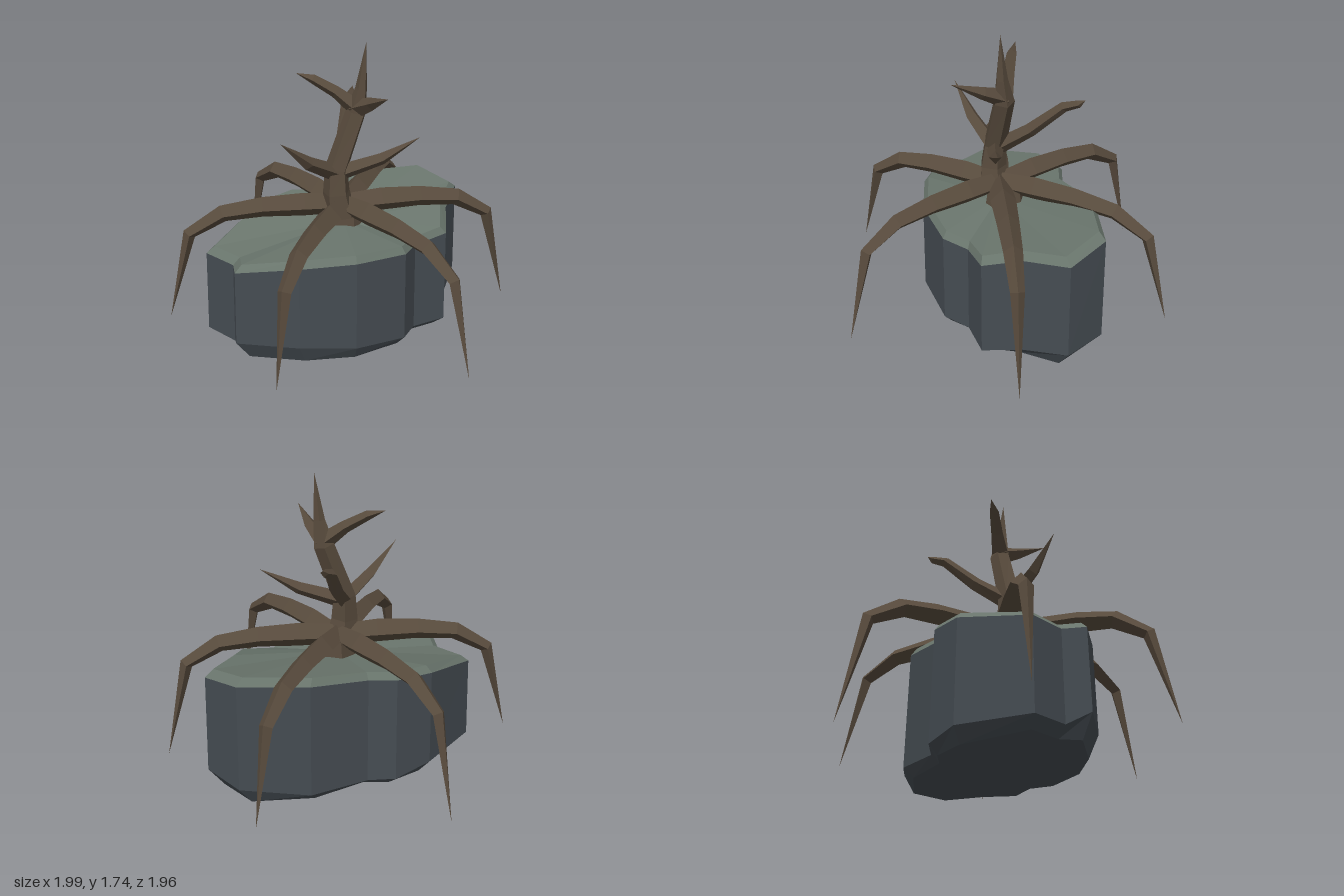
import * as THREE from 'three';

const V = (x, y, z) => new THREE.Vector3(x, y, z);

const bark = new THREE.MeshStandardMaterial({ color: 0x574a3c, flatShading: true });
bark.name = 'bark brown';
const stone = new THREE.MeshStandardMaterial({ color: 0x454c52, flatShading: true });
stone.name = 'dark stone';
const moss = new THREE.MeshStandardMaterial({ color: 0x69756c, flatShading: true });
moss.name = 'grey green stone top';

// Skin between cross-section rings; a ring of one point closes the end as a fan
function loft(rings, material, name) {
  const pos = [];
  const tri = (...p) => p.forEach((v) => pos.push(v.x, v.y, v.z));
  for (let i = 0; i < rings.length - 1; i++) {
    const lo = rings[i], hi = rings[i + 1];
    const n = Math.max(lo.length, hi.length);
    for (let j = 0; j < n; j++) {
      const k = (j + 1) % n;
      const a = lo[j % lo.length], b = lo[k % lo.length];
      const c = hi[k % hi.length], d = hi[j % hi.length];
      if (lo.length > 1) tri(a, b, c);
      if (hi.length > 1) tri(a, c, d);
    }
  }
  const geo = new THREE.BufferGeometry();
  geo.setAttribute('position', new THREE.Float32BufferAttribute(pos, 3));
  geo.computeVertexNormals();
  const mesh = new THREE.Mesh(geo, material);
  mesh.name = name;
  return mesh;
}

// Faceted tapering limb along a path, ending in a point
function limb(path, radii, side, name, sides = 4) {
  const rings = [[path[0]]];
  path.forEach((p, i) => {
    if (i === path.length - 1) return rings.push([p]);
    const t = path[i + 1].clone().sub(p).normalize();
    if (i > 0) t.add(p.clone().sub(path[i - 1]).normalize()).normalize();
    const s = side.clone().addScaledVector(t, -side.dot(t)).normalize();
    const n = t.clone().cross(s);
    rings.push(Array.from({ length: sides }, (_, j) => {
      const a = (j / sides) * Math.PI * 2;
      return p.clone()
        .addScaledVector(s, Math.cos(a) * radii[i])
        .addScaledVector(n, Math.sin(a) * radii[i]);
    }));
  });
  return loft(rings, bark, name);
}

function buildRock() {
  const rock = new THREE.Group();
  rock.name = 'rock';
  // Outline corners: x, z, wall height, lower bevel height
  const outline = [
    [-0.73, 0.16, 0.57, 0.12], [-0.42, 0.35, 0.62, 0.12], [-0.11, 0.44, 0.63, 0.09],
    [0.21, 0.41, 0.61, 0.06], [0.33, 0.30, 0.59, 0.04], [0.54, 0.29, 0.62, 0.04],
    [0.65, 0.09, 0.68, 0.08], [0.83, -0.11, 0.71, 0.13], [0.72, -0.36, 0.75, 0.12],
    [0.34, -0.47, 0.73, 0.06], [-0.02, -0.42, 0.68, 0.04], [-0.17, -0.48, 0.68, 0.05],
    [-0.41, -0.43, 0.66, 0.08], [-0.80, -0.17, 0.55, 0.05], [-0.70, 0.03, 0.55, 0.05],
  ];
  const ring = (scale, y) => outline.map((p) => V(p[0] * scale, y(p), p[1] * scale));
  const rim = ring(0.98, (p) => p[2]);
  rock.add(loft([[V(0, 0, 0)], ring(0.89, () => 0), ring(1, (p) => p[3]), rim], stone, 'rockWall'));
  rock.add(loft([rim, ring(0.92, (p) => p[2] + 0.04), [V(0, 0.68, 0)]], moss, 'rockTop'));
  return rock;
}

function buildRoots() {
  const roots = new THREE.Group();
  roots.name = 'roots';
  const tips = [
    V(-1.0, 0.12, -0.27), V(0.99, 0.07, 0.23), V(0.74, 0.14, -0.75),
    V(-0.26, 0.07, -0.98), V(-0.68, 0.14, 0.69), V(0.30, 0.12, 0.98),
  ];
  // Fraction of the reach and height at each joint
  const joints = [[0, 0.79], [0.22, 0.80], [0.45, 0.80], [0.67, 0.775], [0.86, 0.66]];
  for (const tip of tips) {
    const path = joints.map(([f, y]) => V(tip.x * f, y, tip.z * f));
    path.push(tip);
    const side = V(-tip.z, 0, tip.x).normalize();
    roots.add(limb(path, [0.06, 0.072, 0.062, 0.052, 0.038], side, 'root'));
  }
  // Stump joining the roots to the rock
  const stump = new THREE.Mesh(new THREE.CylinderGeometry(0.1, 0.13, 0.18, 6), bark);
  stump.position.set(0.03, 0.71, -0.03);
  stump.name = 'stump';
  roots.add(stump);
  return roots;
}

function buildTree() {
  const tree = new THREE.Group();
  tree.name = 'tree';
  const X = V(1, 0, 0), Y = V(0, 1, 0);
  tree.add(limb(
    [V(-0.03, 0.74, 0.02), V(-0.05, 0.88, 0.02), V(-0.045, 1.02, 0.01), V(0.08, 1.34, 0),
      V(0.10, 1.48, 0.02), V(0.12, 1.74, 0.035)],
    [0.10, 0.08, 0.068, 0.06, 0.034], X, 'trunk', 5));
  // Lower branches
  const fork = V(-0.04, 0.99, 0.01);
  tree.add(limb([fork, V(-0.24, 1.11, 0.08), V(-0.42, 1.27, 0.13)], [0.05, 0.038], Y, 'leftBranch'));
  tree.add(limb([fork, V(0.20, 1.07, 0.09), V(0.41, 1.19, 0.15)], [0.05, 0.036], Y, 'rightBranch'));
  tree.add(limb([fork, V(0.07, 1.13, -0.16), V(0.16, 1.29, -0.32), V(0.22, 1.325, -0.38), V(0.24, 1.35, -0.41)],
    [0.05, 0.04, 0.03, 0.022], Y, 'backBranch'));
  // Upper branches
  const crown = V(0.08, 1.36, 0);
  tree.add(limb([crown, V(-0.02, 1.45, -0.06), V(-0.13, 1.52, -0.12), V(-0.21, 1.55, -0.17)],
    [0.05, 0.035, 0.027], Y, 'upperBackBranch'));
  tree.add(limb([crown, V(0.11, 1.42, 0.13), V(0.12, 1.50, 0.31)], [0.055, 0.036], X, 'upperFrontBranch'));
  return tree;
}

export function createModel() {
  const model = new THREE.Group();
  model.name = 'treeOnRock';
  model.add(buildRock(), buildRoots(), buildTree());
  return model;
}
